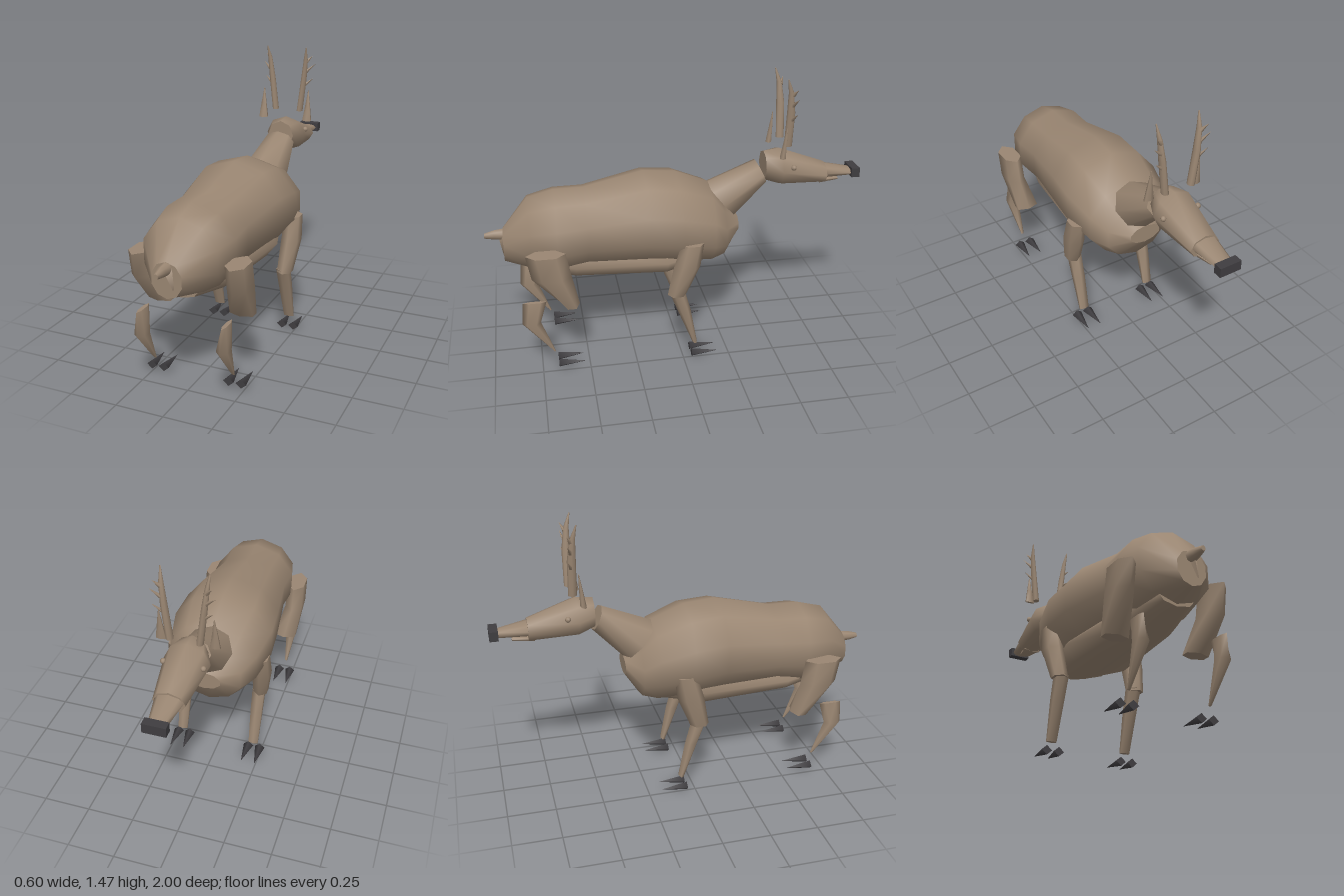
import * as THREE from 'three';

const hide = new THREE.MeshStandardMaterial({ color: 0x9a8672 });
hide.name = 'brown hide';
const horn = new THREE.MeshStandardMaterial({ color: 0x3f3d40 });
horn.name = 'dark hoof';

// Skin elliptical rings [x, y, z, radiusA, radiusB, shear].
// axis 'z': rings face z, listed from +z to -z; axis 'y': rings lie flat, listed top to bottom.
function loft(rings, sides, axis) {
  const pos = [], index = [];
  const ring = ([x, y, z, a, b, shear = 0]) => {
    const start = pos.length / 3;
    for (let j = 0; j < sides; j++) {
      const t = Math.PI / 2 + (j / sides) * Math.PI * 2;
      const c = Math.cos(t), s = Math.sin(t);
      if (axis === 'z') pos.push(x + a * c, y + b * s, z + shear * s);
      else pos.push(x + a * c, y + shear * s, z - b * s);
    }
    return start;
  };
  const starts = rings.map(ring);
  for (let i = 0; i < rings.length - 1; i++) {
    for (let j = 0; j < sides; j++) {
      const k = (j + 1) % sides, p = starts[i], q = starts[i + 1];
      index.push(p + j, q + j, p + k, p + k, q + j, q + k);
    }
  }
  // Flat end caps with their own vertices
  const first = ring(rings[0]), last = ring(rings[rings.length - 1]);
  for (let j = 1; j < sides - 1; j++) {
    index.push(first, first + j, first + j + 1, last, last + j + 1, last + j);
  }
  const g = new THREE.BufferGeometry();
  g.setAttribute('position', new THREE.Float32BufferAttribute(pos, 3));
  g.setIndex(index);
  g.computeVertexNormals();
  return g;
}

// Cone running from a base point to a tip
function spike(base, tip, radius, sides) {
  const a = new THREE.Vector3(...base), d = new THREE.Vector3(...tip).sub(a);
  const g = new THREE.ConeGeometry(radius, d.length(), sides);
  g.translate(0, d.length() / 2, 0);
  g.applyQuaternion(new THREE.Quaternion().setFromUnitVectors(new THREE.Vector3(0, 1, 0), d.normalize()));
  return g.translate(a.x, a.y, a.z);
}

export function createModel() {
  const model = new THREE.Group();
  model.name = 'deer';
  const add = (name, geometry, material = hide) => {
    const mesh = new THREE.Mesh(geometry, material);
    mesh.name = name;
    model.add(mesh);
    return mesh;
  };
  const cx = -0.01; // the trunk and head sit slightly off centre

  // Trunk and belly
  add('body', loft([
    [cx, 0.645, 0.905, 0.08, 0.09],
    [cx, 0.71, 0.77, 0.2, 0.19],
    [cx, 0.715, 0.635, 0.23, 0.22],
    [cx, 0.728, 0.48, 0.222, 0.208],
    [cx, 0.76, 0.17, 0.268, 0.245],
    [cx, 0.745, 0, 0.28, 0.245],
    [cx, 0.705, -0.175, 0.245, 0.215],
    [cx, 0.66, -0.25, 0.18, 0.15],
    [cx, 0.685, -0.33, 0.09, 0.05],
  ], 10, 'z'));
  add('belly', loft([
    [cx, 0.56, 0.78, 0.1, 0.05],
    [cx, 0.545, 0.545, 0.16, 0.085],
    [cx, 0.55, 0.07, 0.2, 0.105],
    [cx, 0.57, -0.22, 0.11, 0.07],
  ], 8, 'z'));

  // Tail
  add('tail', loft([
    [cx, 0.7, 1, 0.012, 0.014],
    [cx, 0.703, 0.95, 0.024, 0.026],
    [cx, 0.705, 0.86, 0.034, 0.036],
  ], 8, 'z'));
  add('tailRoot', spike([0.01, 0.67, 0.87], [cx, 0.7, 0.93], 0.08, 3));

  // Neck, with slanted rings
  add('neck', loft([
    [cx, 0.82, -0.245, 0.125, 0.093, 0.08],
    [cx, 0.96, -0.46, 0.085, 0.06, 0.028],
  ], 8, 'z'));

  // Head, snout, jaw and nose
  add('head', loft([
    [cx, 0.99, -0.475, 0.075, 0.08],
    [cx, 0.98, -0.56, 0.115, 0.1],
    [cx, 0.932, -0.81, 0.08, 0.056],
  ], 8, 'z'));
  add('snout', loft([
    [cx, 0.943, -0.78, 0.075, 0.04],
    [cx, 0.926, -0.96, 0.045, 0.02],
  ], 8, 'z'));
  add('jaw', loft([
    [cx, 0.893, -0.78, 0.055, 0.016],
    [cx, 0.892, -0.89, 0.03, 0.007],
  ], 6, 'z'));
  const nose = new THREE.BoxGeometry(0.115, 0.05, 0.045);
  add('nose', nose, horn).position.set(cx, 0.93, -0.9775);

  for (const s of [1, -1]) {
    const side = s > 0 ? 'left' : 'right';
    const hx = (x) => cx + s * x;

    // Eye and ear
    const eye = add(side + 'Eye', new THREE.SphereGeometry(0.015, 8, 6));
    eye.position.set(hx(0.098), 1.0, -0.615);
    add(side + 'Ear', loft([
      [hx(0.133), 1.24, -0.557, 0.002, 0.002],
      [hx(0.133), 1.15, -0.548, 0.016, 0.01],
      [hx(0.132), 1.073, -0.54, 0.028, 0.016, 0.004],
    ], 6, 'y'));

    // Antler with three tines
    add(side + 'Antler', loft([
      [hx(0.115), 1.48, -0.555, 0.003, 0.003],
      [hx(0.107), 1.41, -0.575, 0.012, 0.014],
      [hx(0.095), 1.3, -0.583, 0.016, 0.022],
      [hx(0.073), 1.115, -0.583, 0.018, 0.022],
    ], 8, 'y'));
    const tines = [[1.255, 0.09, 1.305, 0.145], [1.335, 0.1, 1.385, 0.155], [1.395, 0.107, 1.43, 0.138]];
    for (const [y0, x0, y1, x1] of tines) {
      add(side + 'Tine', spike([hx(x0), y0, -0.585], [hx(x1), y1, -0.605], 0.012, 5));
    }

    // Front leg
    add(side + 'FrontUpperLeg', loft([
      [s * 0.235, 0.68, -0.05, 0.045, 0.06],
      [s * 0.235, 0.55, -0.02, 0.052, 0.07],
      [s * 0.22, 0.385, 0.03, 0.042, 0.05],
    ], 6, 'y'));
    add(side + 'FrontLowerLeg', loft([
      [s * 0.21, 0.4, 0.03, 0.038, 0.042],
      [s * 0.21, 0.28, -0.01, 0.036, 0.035],
      [s * 0.21, 0.08, -0.068, 0.03, 0.013],
    ], 6, 'y'));

    // Hind leg, with a gap between thigh and shank
    add(side + 'Thigh', loft([
      [s * 0.25, 0.692, 0.7, 0.055, 0.1],
      [s * 0.25, 0.56, 0.675, 0.056, 0.1],
      [s * 0.22, 0.388, 0.583, 0.07, 0.043],
    ], 6, 'y'));
    add(side + 'Shank', loft([
      [s * 0.22, 0.412, 0.77, 0.012, 0.06],
      [s * 0.215, 0.29, 0.793, 0.034, 0.048],
      [s * 0.212, 0.107, 0.683, 0.008, 0.005],
    ], 6, 'y'));

    // Cloven hooves pointing forward
    for (const [name, y, z] of [['FrontHoof', 0.03, -0.045], ['HindHoof', 0.05, 0.665]]) {
      for (const toe of [-1, 1]) {
        const x = s * 0.21 + toe * 0.033;
        add(side + name, loft([
          [x, y, z, 0.028, 0.024],
          [x + toe * 0.005, y, z - 0.135, 0.001, 0.001],
        ], 4, 'z'), horn);
      }
    }
  }
  return model;
}
